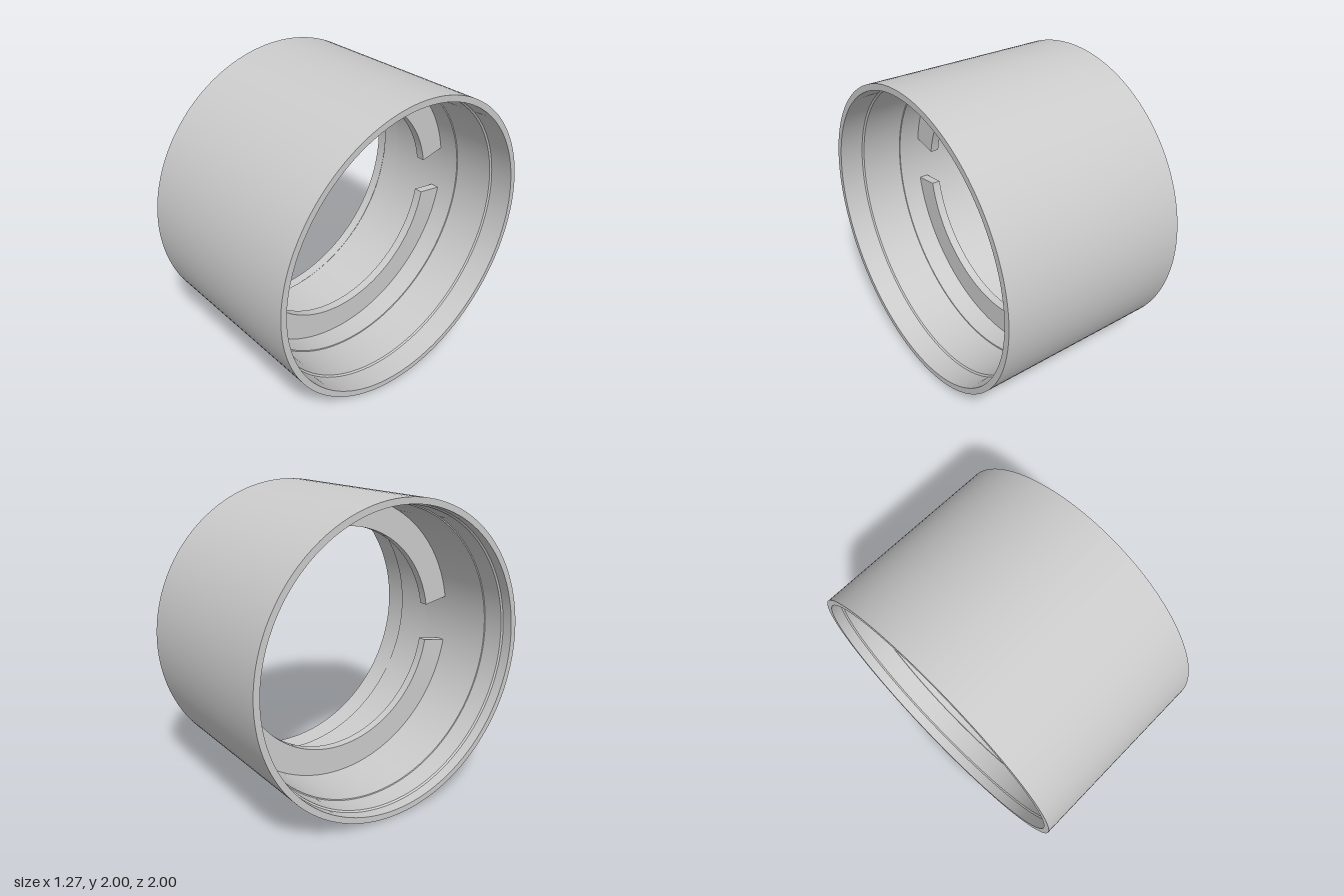
import * as THREE from 'three';
import { toCreasedNormals } from 'three/addons/utils/BufferGeometryUtils.js';

const HALF = 0.635;     // half the sleeve length, along x
const TAB_HALF = 0.03;  // half the tab thickness, along x
const GAP = THREE.MathUtils.degToRad(10);

export function createModel() {
  const model = new THREE.Group();
  const material = new THREE.MeshStandardMaterial({ color: 0xcccccc });

  // Sleeve: closed wall section [radius, x], stepped on the inside
  const section = [
    [1, -HALF], [1, HALF],
    [0.96, HALF], [0.96, 0.475], [0.95, 0.465],
    [0.95, 0.18], [0.943, 0.178],
    [0.943, -0.41], [0.95, -0.412],
    [0.95, -0.555], [0.96, -0.565], [0.96, -HALF],
    [1, -HALF],
  ].map(([r, x]) => new THREE.Vector2(r, x));
  const sleeveGeometry = toCreasedNormals(new THREE.LatheGeometry(section, 144), 0.4);
  sleeveGeometry.rotateZ(-Math.PI / 2);
  const sleeve = new THREE.Mesh(sleeveGeometry, material);
  sleeve.name = 'sleeve';
  model.add(sleeve);

  // Two inner arc tabs, separated by gaps at the front and back
  const arc = new THREE.Shape();
  arc.absarc(0, 0, 0.946, GAP, Math.PI - GAP, false);
  arc.absarc(0, 0, 0.757, Math.PI - GAP, GAP, true);
  arc.closePath();
  const tabGeometry = toCreasedNormals(new THREE.ExtrudeGeometry(arc, {
    depth: 2 * TAB_HALF, bevelEnabled: false, curveSegments: 64,
  }), 0.4);
  tabGeometry.translate(0, 0, -TAB_HALF);
  tabGeometry.rotateY(Math.PI / 2);

  ['upperTab', 'lowerTab'].forEach((name, i) => {
    const tab = new THREE.Mesh(tabGeometry, material);
    tab.name = name;
    tab.rotation.x = i * Math.PI;
    model.add(tab);
  });

  // Stand the sleeve on the ground
  model.children.forEach((part) => { part.position.y = 1; });
  return model;
}
